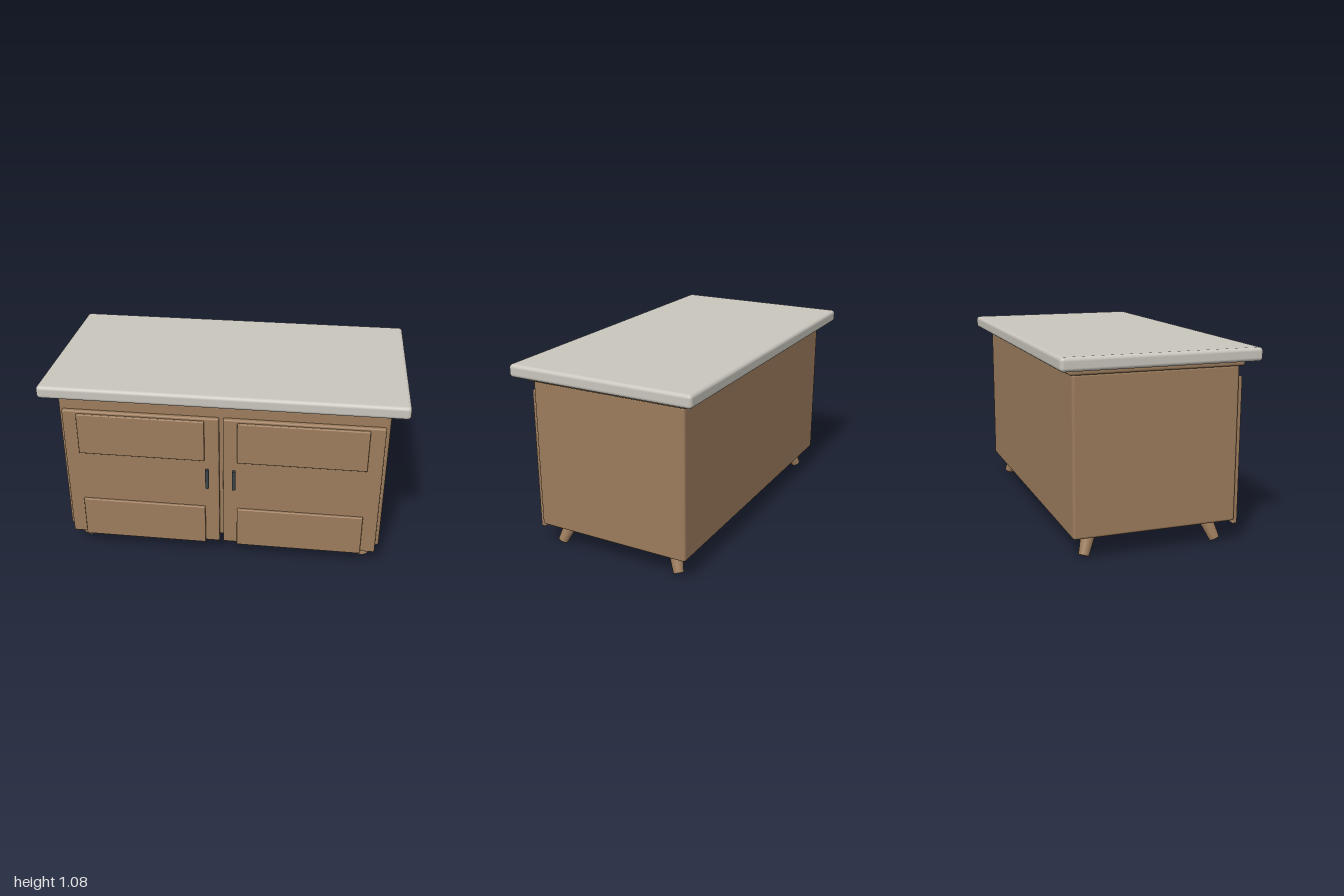
import * as THREE from 'three';
import { RoundedBoxGeometry } from 'three/addons/geometries/RoundedBoxGeometry.js';

export function createModel() {
  const model = new THREE.Group();
  model.name = 'cabinet';

  const material = (name, color) => {
    const m = new THREE.MeshStandardMaterial({ color });
    m.name = name;
    return m;
  };
  const wood = material('wood', 0x9c7c5c);
  const stone = material('stone', 0xcac6be);
  const metal = material('darkMetal', 0x3c464a);

  const add = (name, geometry, mat) => {
    const mesh = new THREE.Mesh(geometry, mat);
    mesh.name = name;
    model.add(mesh);
    return mesh;
  };

  // Rounded block given by its extents on each axis
  const block = (name, mat, [x0, x1], [y0, y1], [z0, z1], radius) =>
    add(name, new RoundedBoxGeometry(x1 - x0, y1 - y0, z1 - z0, 3, radius), mat)
      .position.set((x0 + x1) / 2, (y0 + y1) / 2, (z0 + z1) / 2);

  // Worktop, moulding beneath it, and carcass
  block('worktop', stone, [-1, 1], [1.008, 1.08], [-0.541, 0.541], 0.02);
  block('moulding', wood, [-0.932, 0.932], [0.978, 1.012], [-0.477, 0.477], 0.014);
  block('carcass', wood, [-0.91, 0.91], [0.13, 0.982], [-0.456, 0.456], 0.015);

  for (const side of [1, -1]) {
    const label = side > 0 ? 'left' : 'right';
    const span = (a, b) => (side > 0 ? [a, b] : [-b, -a]);

    // Door with two raised panels
    block(label + 'Door', wood, span(0.011, 0.888), [0.103, 0.917], [0.455, 0.486], 0.009);
    block(label + 'UpperPanel', wood, span(0.091, 0.805), [0.655, 0.902], [0.48, 0.502], 0.006);
    block(label + 'LowerPanel', wood, span(0.091, 0.805), [0.099, 0.346], [0.48, 0.502], 0.006);

    // Upright bar handle
    add(label + 'Handle', new THREE.CylinderGeometry(0.0105, 0.0105, 0.12, 20), metal)
      .position.set(side * 0.075, 0.55, 0.515);

    // Splayed tapering legs
    for (const end of [1, -1]) {
      const top = new THREE.Vector3(side * 0.791, 0.1315, end * 0.333);
      const foot = new THREE.Vector3(side * 0.835, 0.013, end * 0.377);
      const axis = top.clone().sub(foot);
      const leg = add(label + (end > 0 ? 'FrontLeg' : 'BackLeg'),
        new THREE.CylinderGeometry(0.04, 0.028, axis.length(), 24), wood);
      leg.position.copy(top).add(foot).multiplyScalar(0.5);
      leg.quaternion.setFromUnitVectors(new THREE.Vector3(0, 1, 0), axis.normalize());
    }
  }
  return model;
}
